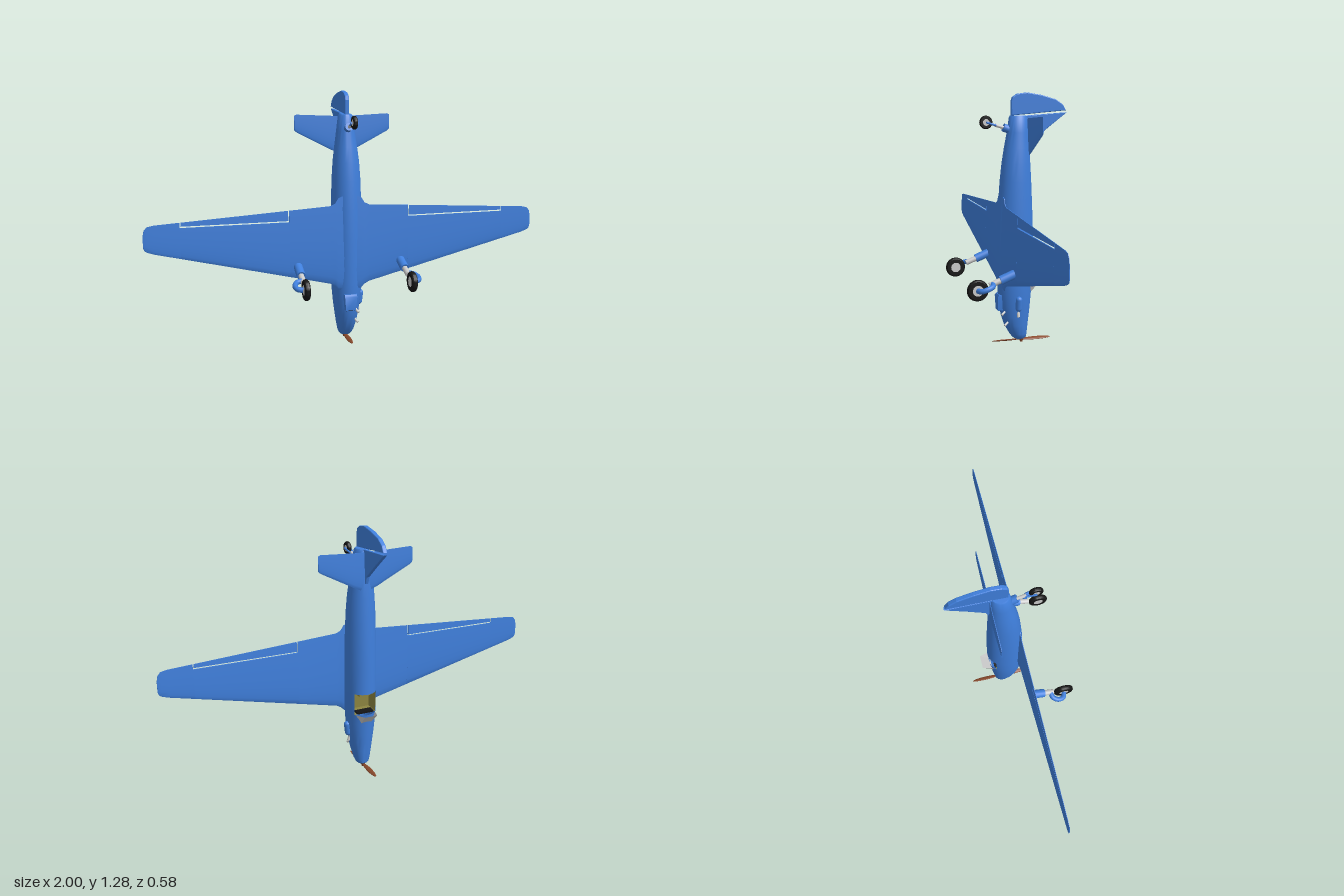
import * as THREE from 'three';
import { toCreasedNormals } from 'three/addons/utils/BufferGeometryUtils.js';

const V = (x, y, z) => new THREE.Vector3(x, y, z);
const paint = (color, side = THREE.FrontSide) => new THREE.MeshStandardMaterial({ color, side });
const blue = paint(0x3f7fdc), blueShell = paint(0x3f7fdc, THREE.DoubleSide);
const grey = paint(0xcccccc), glass = paint(0xcccccc, THREE.DoubleSide);
const black = paint(0x151515), brown = paint(0x8a4a2c), olive = paint(0x8c8440, THREE.DoubleSide);

function add(parent, name, geometry, material, x = 0, y = 0, z = 0) {
  const mesh = new THREE.Mesh(geometry, material);
  mesh.name = name;
  mesh.position.set(x, y, z);
  parent.add(mesh);
  return mesh;
}

// Skin over a row of closed rings, with fan caps at both ends
function loft(rings, skip = () => false) {
  const n = rings[0].length, points = rings.flat(), index = [];
  for (let i = 0; i < rings.length - 1; i++) {
    for (let j = 0; j < n; j++) {
      if (skip(i, j)) continue;
      const a = i * n + j, b = i * n + (j + 1) % n;
      index.push(a, b, a + n, b, b + n, a + n);
    }
  }
  [0, rings.length - 1].forEach((i, end) => {
    const centre = rings[i].reduce((s, p) => s.add(p), V(0, 0, 0)).divideScalar(n);
    points.push(centre);
    for (let j = 0; j < n; j++) {
      const a = i * n + j, b = i * n + (j + 1) % n;
      index.push(...(end ? [a, b, points.length - 1] : [b, a, points.length - 1]));
    }
  });
  // Turn the faces outward whatever the direction of the rings
  let volume = 0;
  for (let k = 0; k < index.length; k += 3) {
    const [a, b, c] = [0, 1, 2].map(m => points[index[k + m]]);
    volume += a.dot(V(0, 0, 0).crossVectors(b, c));
  }
  if (volume < 0) index.reverse();
  const geometry = new THREE.BufferGeometry().setFromPoints(points);
  geometry.setIndex(index);
  return toCreasedNormals(geometry, 0.6);
}

// Aerofoil slice from y0 (leading) to y1 (trailing), trimmed to a..b
function slice(x, y0, y1, z, t, a = y0, b = y1) {
  const n = 10, top = [], bottom = [];
  for (let i = 0; i <= n; i++) {
    const y = a + (b - a) * (1 - Math.cos(Math.PI * i / n)) / 2;
    const u = Math.min(1, Math.max(0, (y - y0) / (y1 - y0)));
    const h = t * (1.48 * Math.sqrt(u) - 0.63 * u - 1.76 * u * u + 1.42 * u ** 3 - 0.49 * u ** 4) + 0.001;
    top.push(V(x, y, z - h));
    bottom.push(V(x, y, z + h));
  }
  return [...top, ...bottom.reverse()];
}

// Cylinder between two points
function rod(parent, name, p, q, r, material) {
  const d = q.clone().sub(p);
  const mesh = add(parent, name, new THREE.CylinderGeometry(r, r, d.length(), 20), material);
  mesh.position.copy(p).add(q).multiplyScalar(0.5);
  mesh.quaternion.setFromUnitVectors(V(0, 1, 0), d.normalize());
  return mesh;
}

// Rounded tyre with a pale hub, axle along x
function wheel(parent, name, x, y, z, r, width) {
  const group = new THREE.Group();
  group.name = name;
  group.position.set(x, y, z);
  const w = width / 2, k = r * 0.5;
  const profile = [[k, -w], [r * 0.85, -w], [r * 0.96, -w * 0.6], [r, 0], [r * 0.96, w * 0.6], [r * 0.85, w], [k, w], [k, -w]];
  const tyre = new THREE.LatheGeometry(profile.map(p => new THREE.Vector2(...p)), 36).rotateZ(Math.PI / 2);
  add(group, 'tyre', toCreasedNormals(tyre, 0.7), black);
  add(group, 'hub', new THREE.CylinderGeometry(k, k, width * 0.9, 24).rotateZ(Math.PI / 2), grey);
  parent.add(group);
}

// Thin plate in the side plane; outline points are [z, y]
function plate(outline, thickness) {
  const shape = new THREE.Shape(outline.map(([z, y]) => new THREE.Vector2(-z, y)));
  const geometry = new THREE.ExtrudeGeometry(shape, {
    depth: thickness, bevelThickness: 0.004, bevelSize: 0.004, bevelOffset: -0.004, bevelSegments: 2,
  });
  return geometry.translate(0, 0, -thickness / 2).rotateY(Math.PI / 2);
}

export function createModel() {
  const plane = new THREE.Group();
  plane.name = 'aeroplane';

  // Fuselage stations: y, belly z, back z, half width
  const stations = [
    [0.022, -0.012, -0.066, 0.026], [0.03, -0.002, -0.074, 0.034], [0.05, 0.014, -0.077, 0.042],
    [0.1, 0.042, -0.082, 0.053], [0.15, 0.058, -0.088, 0.061], [0.2, 0.067, -0.093, 0.068],
    [0.26, 0.073, -0.098, 0.074], [0.315, 0.076, -0.103, 0.077], [0.43, 0.078, -0.109, 0.078],
    [0.56, 0.077, -0.108, 0.078], [0.7, 0.072, -0.104, 0.076], [0.84, 0.062, -0.098, 0.072],
    [0.93, 0.052, -0.093, 0.066], [1.0, 0.041, -0.089, 0.057], [1.08, 0.026, -0.082, 0.046],
    [1.155, 0.015, -0.076, 0.036], [1.163, 0.01, -0.071, 0.03],
  ];
  const sides = 36;
  const rings = stations.map(([y, belly, back, w]) => Array.from({ length: sides }, (_, j) => {
    const t = j / sides * Math.PI * 2;
    return V(w * Math.sin(t), y, (belly + back) / 2 - (belly - back) / 2 * Math.cos(t));
  }));
  add(plane, 'fuselage', loft(rings, (i, j) => i === 7 && (j < 5 || j > 30)), blueShell);

  // Open cockpit
  const tub = new THREE.BoxGeometry(0.116, 0.114, 0.08);
  tub.setIndex([...tub.index.array].slice(0, 30));
  add(plane, 'cockpitTub', tub, olive, 0, 0.3725, -0.034);
  add(plane, 'seat', new THREE.BoxGeometry(0.06, 0.015, 0.06), olive, 0, 0.415, -0.04);
  add(plane, 'instrumentPanel', new THREE.BoxGeometry(0.09, 0.008, 0.04), black, 0, 0.322, -0.062);

  // Windscreen: a front pane and two side panes
  const pane = s => [V(s * 0.028, 0.27, -0.092), V(s * 0.034, 0.325, -0.145), V(s * 0.055, 0.315, -0.077)];
  const [a, b, c] = pane(1), [d, e, f] = pane(-1);
  const screen = new THREE.BufferGeometry().setFromPoints([a, d, e, a, e, b, a, b, c, d, f, e]);
  screen.computeVertexNormals();
  add(plane, 'windscreen', screen, glass);

  // Wing outline along the span
  const lead = x => 0.315 + (x - 0.07) * 0.242;
  const trail = x => 0.72 - (x - 0.07) * 0.061;
  const section = (x, from, to) => slice(x, lead(x), trail(x), 0.057 - 0.006 * x, 0.021 - 0.016 * x, from, to);
  for (const s of [1, -1]) {
    const side = s > 0 ? 'left' : 'right';
    const mirror = list => list.map(ring => ring.map(p => V(p.x * s, p.y, p.z)));
    add(plane, side + 'WingRoot', loft(mirror([
      slice(0, 0.285, 0.78, 0.055, 0.026), slice(0.06, 0.29, 0.755, 0.055, 0.026),
      slice(0.075, 0.308, 0.73, 0.056, 0.023), section(0.1), section(0.307),
    ])), blue);
    add(plane, side + 'WingMiddle', loft(mirror([0.307, 0.83].map(x => section(x, lead(x), 0.648)))), blue);
    add(plane, side + 'Aileron', loft(mirror([0.312, 0.825].map(x => section(x, 0.655, trail(x))))), blue);
    add(plane, side + 'WingTip', loft(mirror([
      section(0.83), section(0.95), slice(0.98, 0.538, 0.66, 0.051, 0.005),
      slice(0.994, 0.546, 0.643, 0.051, 0.004), slice(1, 0.56, 0.615, 0.051, 0.002),
    ])), blue);

    // Tailplane half
    add(plane, side + 'Tailplane', loft(mirror([
      slice(0, 0.955, 1.15, -0.08, 0.009), slice(0.06, 0.982, 1.152, -0.082, 0.008),
      slice(0.235, 1.072, 1.16, -0.084, 0.005), slice(0.247, 1.082, 1.155, -0.084, 0.003),
    ])), blue);

    // Main landing gear leg with a curved half fork on the outer side
    const gear = new THREE.Group();
    gear.name = side + 'LandingGear';
    const x = s * 0.267;
    rod(gear, 'legSleeve', V(x, 0.424, 0.06), V(x, 0.396, 0.13), 0.022, blue);
    rod(gear, 'legPiston', V(x, 0.4, 0.12), V(x, 0.376, 0.182), 0.014, grey);
    const bend = new THREE.CatmullRomCurve3([
      V(x, 0.382, 0.168), V(x + s * 0.03, 0.376, 0.174), V(x + s * 0.045, 0.367, 0.2),
      V(x + s * 0.038, 0.358, 0.228), V(x + s * 0.012, 0.355, 0.24),
    ]);
    add(gear, 'halfFork', new THREE.TubeGeometry(bend, 20, 0.013, 12), blue);
    wheel(gear, 'mainWheel', x, 0.355, 0.24, 0.052, 0.026);
    plane.add(gear);
  }

  // Fin and rudder, separated by a narrow gap
  add(plane, 'fin', plate([[-0.06, 0.99], [-0.092, 1.0], [-0.103, 1.035], [-0.19, 1.105], [-0.285, 1.178], [-0.03, 1.16]], 0.01), blue);
  add(plane, 'rudder', plate([
    [0.005, 1.163], [0.006, 1.232], [0, 1.253], [-0.025, 1.269], [-0.075, 1.276], [-0.15, 1.264],
    [-0.225, 1.243], [-0.262, 1.218], [-0.28, 1.188], [-0.08, 1.17],
  ], 0.014), blue);

  // Tail wheel
  rod(plane, 'tailWheelFairing', V(0, 1.09, 0.005), V(0, 1.105, 0.045), 0.02, blue);
  rod(plane, 'tailWheelStrut', V(0, 1.1, 0.03), V(0, 1.117, 0.088), 0.008, grey);
  for (const s of [1, -1]) {
    rod(plane, 'tailWheelFork', V(s * 0.006, 1.115, 0.082), V(s * 0.015, 1.13, 0.133), 0.005, blue);
  }
  wheel(plane, 'tailWheel', 0, 1.13, 0.133, 0.033, 0.02);

  // Chin intake, tapering toward the tail
  const box = (y, w, z0, z1) => [V(-w, y, z0), V(w, y, z0), V(w * 0.8, y, z1), V(-w * 0.8, y, z1)];
  add(plane, 'chinIntake', loft([box(0.18, 0.032, 0.03, 0.08), box(0.25, 0.04, 0.03, 0.083), box(0.262, 0.04, 0.03, 0.076)]), blue);
  add(plane, 'chinIntakeMouth', new THREE.BoxGeometry(0.045, 0.004, 0.012), black, 0, 0.179, 0.071);

  // Side scoop on the left flank and exhaust stubs
  const scoop = add(plane, 'sideScoop', new THREE.CapsuleGeometry(0.017, 0.046, 6, 16), blue, 0.072, 0.22, -0.017);
  scoop.rotation.z = -0.12;
  rod(plane, 'sideExhaust', V(0.05, 0.2, -0.017), V(0.067, 0.15, -0.017), 0.008, grey);
  [[0.172, 0.052], [0.115, 0.037]].forEach(([y, z]) => {
    rod(plane, 'exhaustStub', V(0.03, y + 0.01, z - 0.015), V(0.044, y - 0.01, z + 0.013), 0.006, grey);
  });

  // Propeller with two twisted blades
  const prop = new THREE.Group();
  prop.name = 'propeller';
  prop.position.set(0, 0.014, -0.05);
  add(prop, 'spinner', new THREE.CylinderGeometry(0.014, 0.006, 0.028, 20), brown);
  for (const s of [1, -1]) {
    const blade = add(prop, 'blade', new THREE.SphereGeometry(1, 20, 14), brown, 0, 0, s * 0.078);
    blade.scale.set(0.012, 0.004, 0.078);
    blade.rotation.z = s * 0.4;
  }
  plane.add(prop);
  return plane;
}
